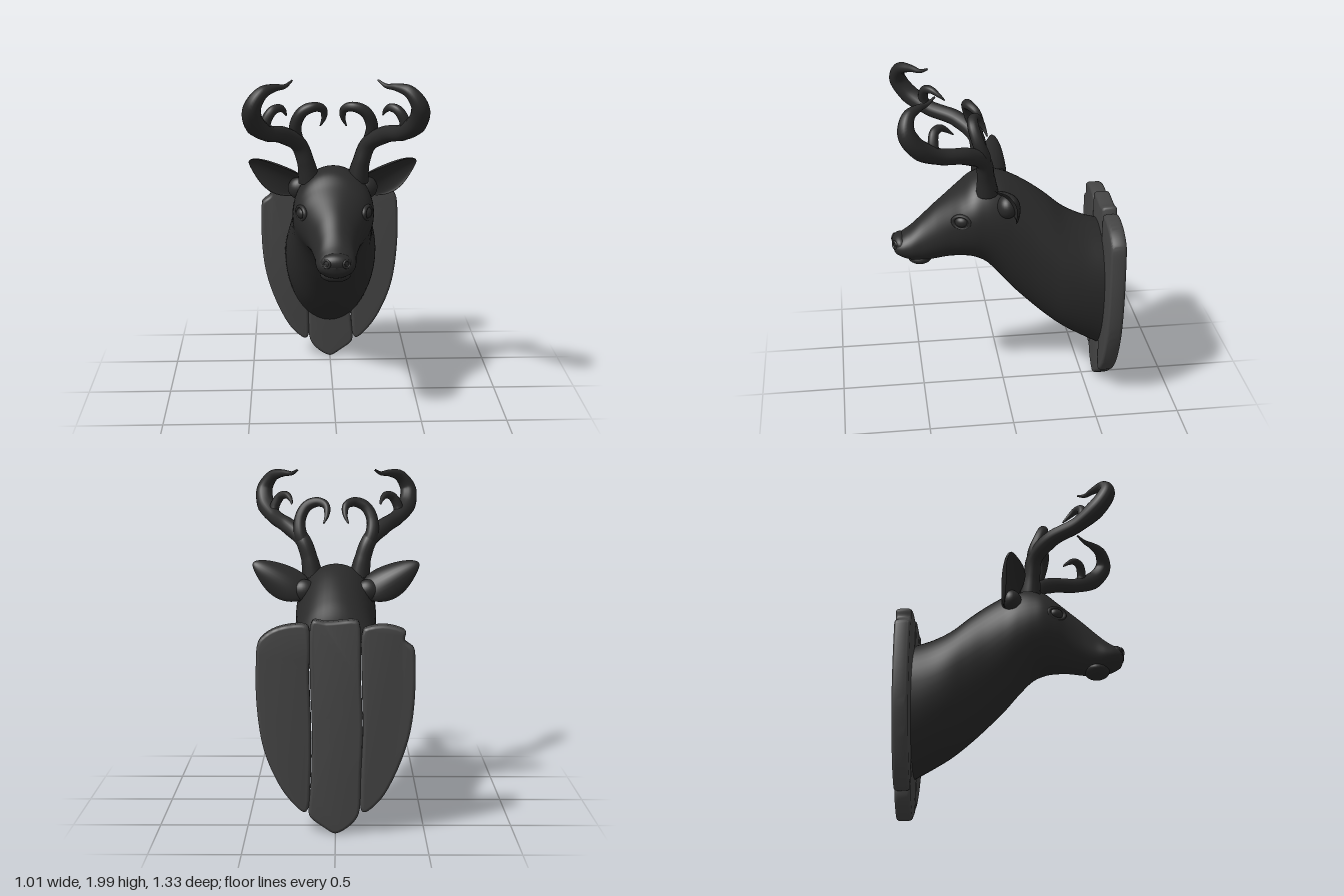
import * as THREE from 'three';
import { toCreasedNormals } from 'three/addons/utils/BufferGeometryUtils.js';

const V = (x, y, z) => new THREE.Vector3(x, y, z);
const hide = new THREE.MeshStandardMaterial({ color: 0x2a2a2a });
const wood = new THREE.MeshStandardMaterial({ color: 0x444444 });

function add(parent, name, geometry, material = hide) {
  const mesh = new THREE.Mesh(geometry, material);
  mesh.name = name;
  parent.add(mesh);
  return mesh;
}

// Ellipsoid placed at a point
function blob(parent, name, pos, radii) {
  const mesh = add(parent, name, new THREE.SphereGeometry(1, 28, 18));
  mesh.position.set(...pos);
  mesh.scale.set(...radii);
  return mesh;
}

// Loft along z; each section is [z, bottom, top, widest height, half width]
function loft(sections, rings, around) {
  const a = new THREE.CatmullRomCurve3(sections.map(s => V(s[0], s[1], s[2])));
  const b = new THREE.CatmullRomCurve3(sections.map(s => V(s[0], s[3], s[4])));
  const pos = [], idx = [];
  for (let i = 0; i <= rings; i++) {
    const p = a.getPoint(i / rings), q = b.getPoint(i / rings);
    for (let j = 0; j < around; j++) {
      const t = j / around * Math.PI * 2, s = Math.sin(t);
      pos.push(Math.cos(t) * q.z, q.y + s * (s > 0 ? p.z - q.y : q.y - p.y), p.x);
      if (i < rings) {
        const k = (j + 1) % around, m = i * around;
        idx.push(m + j, m + k, m + around + j, m + k, m + around + k, m + around + j);
      }
    }
  }
  const g = new THREE.BufferGeometry();
  g.setAttribute('position', new THREE.Float32BufferAttribute(pos, 3));
  g.setIndex(idx);
  g.computeVertexNormals();
  return g;
}

// Tube whose radius follows a list of values along its length
function taperedTube(points, radii, seg = 56, sides = 14) {
  const path = new THREE.CatmullRomCurve3(points.map(p => V(...p)));
  const g = new THREE.TubeGeometry(path, seg, 1, sides);
  const p = g.attributes.position, v = V(0, 0, 0);
  for (let i = 0; i <= seg; i++) {
    const c = path.getPointAt(i / seg), f = i / seg * (radii.length - 1);
    const k = Math.min(Math.floor(f), radii.length - 2);
    const r = THREE.MathUtils.lerp(radii[k], radii[k + 1], f - k);
    for (let j = 0; j <= sides; j++) {
      const n = i * (sides + 1) + j;
      v.fromBufferAttribute(p, n).sub(c).multiplyScalar(r).add(c);
      p.setXYZ(n, v.x, v.y, v.z);
    }
  }
  return g;
}

// Cupped leaf: x along the ear, y across it, z through it
function earGeometry() {
  const g = new THREE.SphereGeometry(1, 32, 24).rotateZ(-Math.PI / 2);
  const p = g.attributes.position;
  for (let i = 0; i < p.count; i++) {
    const x = p.getX(i), y = p.getY(i), z = p.getZ(i);
    const w = 0.108 * (1 - 0.28 * x - 0.12 * x * x);
    const hollow = z > 0 ? -0.4 : 1;
    p.setXYZ(i, x * 0.19, y * w, z * 0.045 * hollow + 0.035 * y * y * (1 - x * x));
  }
  g.computeVertexNormals();
  return g;
}

function board(outline) {
  const curve = new THREE.CatmullRomCurve3(outline.map(p => V(p[0], p[1], 0)), true);
  const shape = new THREE.Shape(curve.getPoints(90).slice(0, -1).map(p => new THREE.Vector2(p.x, p.y)));
  const g = new THREE.ExtrudeGeometry(shape, {
    depth: 0.05, bevelSize: 0.018, bevelOffset: -0.018, bevelThickness: 0.021, bevelSegments: 4,
  });
  return toCreasedNormals(g.translate(0, 0, -0.64), 0.7);
}

function makeSide() {
  const side = new THREE.Group();

  // Antler: main beam and two hooked tines
  const antler = new THREE.Group();
  antler.name = 'antler';
  side.add(antler);
  add(antler, 'antlerBeam', taperedTube([
    [0.14, 1.36, 0.11], [0.16, 1.47, 0.12], [0.2, 1.58, 0.14], [0.29, 1.655, 0.24], [0.38, 1.7, 0.4],
    [0.445, 1.78, 0.52], [0.45, 1.87, 0.575], [0.4, 1.945, 0.56], [0.33, 1.965, 0.5],
    [0.275, 1.965, 0.45], [0.235, 1.99, 0.405],
  ], [0.065, 0.05, 0.047, 0.05, 0.046, 0.046, 0.056, 0.052, 0.036, 0.018, 0.005], 90));
  add(antler, 'innerTine', taperedTube([
    [0.18, 1.53, 0.13], [0.215, 1.62, 0.14], [0.215, 1.71, 0.17], [0.175, 1.78, 0.19],
    [0.11, 1.805, 0.185], [0.06, 1.785, 0.15], [0.055, 1.73, 0.12], [0.075, 1.68, 0.1],
  ], [0.04, 0.042, 0.036, 0.034, 0.032, 0.026, 0.018, 0.004]));
  add(antler, 'outerTine', taperedTube([
    [0.39, 1.7, 0.42], [0.38, 1.77, 0.43], [0.345, 1.825, 0.42], [0.305, 1.835, 0.385],
    [0.28, 1.81, 0.345], [0.27, 1.78, 0.31],
  ], [0.034, 0.03, 0.028, 0.024, 0.015, 0.004], 40));

  // Ear, with its lower edge swept back
  const ear = add(side, 'ear', earGeometry());
  const along = V(0.31, 0.17, 0.01).normalize();
  const face = V(0, 0, 1).addScaledVector(V(-0.5, 0.85, 0), -0.6).cross(along).normalize();
  const across = face.y > 0 ? face : face.negate();
  const out = along.clone().cross(across);
  ear.quaternion.setFromRotationMatrix(new THREE.Matrix4().makeBasis(along, across, out));
  ear.position.set(0.325, 1.365, 0);
  blob(side, 'earRoot', [0.19, 1.29, 0], [0.075, 0.07, 0.06]);

  // Eye with a raised almond rim
  const eye = new THREE.Group();
  eye.name = 'eye';
  eye.position.set(0.183, 1.205, 0.262);
  eye.rotation.y = 1.15;
  side.add(eye);
  blob(eye, 'eyeball', [0, 0, 0], [0.043, 0.034, 0.032]);
  const lids = add(eye, 'eyelids', new THREE.TorusGeometry(0.045, 0.011, 10, 32));
  lids.scale.set(1.15, 0.85, 1.3);
  lids.position.z = 0.006;

  // Nostril rim
  const nostril = add(side, 'nostril', new THREE.TorusGeometry(0.02, 0.007, 8, 20));
  nostril.position.set(0.055, 1.015, 0.648);
  nostril.rotation.set(-0.1, 0.55, 0.5);
  return side;
}

export function createModel() {
  const model = new THREE.Group();
  model.name = 'mountedDeerHead';

  // Neck, skull and muzzle in one skin
  add(model, 'headAndNeck', loft([
    [-0.59, 0.25, 1.07, 0.73, 0.29],
    [-0.47, 0.32, 1.11, 0.76, 0.287],
    [-0.36, 0.39, 1.17, 0.82, 0.28],
    [-0.25, 0.48, 1.265, 0.9, 0.262],
    [-0.15, 0.575, 1.34, 0.98, 0.247],
    [-0.05, 0.68, 1.4, 1.06, 0.24],
    [0.04, 0.79, 1.435, 1.13, 0.24],
    [0.12, 0.875, 1.44, 1.16, 0.238],
    [0.19, 0.908, 1.415, 1.18, 0.23],
    [0.26, 0.915, 1.355, 1.175, 0.205],
    [0.33, 0.912, 1.3, 1.13, 0.168],
    [0.41, 0.9, 1.235, 1.06, 0.135],
    [0.49, 0.89, 1.16, 1.01, 0.117],
    [0.56, 0.905, 1.095, 0.99, 0.112],
    [0.61, 0.925, 1.06, 0.99, 0.1],
    [0.645, 0.95, 1.035, 0.99, 0.075],
    [0.66, 0.99, 1.002, 0.996, 0.004],
  ], 96, 48));
  blob(model, 'chin', [0, 0.912, 0.5], [0.088, 0.042, 0.075]);
  blob(model, 'nosePad', [0, 1.015, 0.613], [0.088, 0.05, 0.05]);

  // Antlers, ears, eyes and nostrils, mirrored
  const left = makeSide(), right = makeSide();
  left.name = 'leftSide';
  right.name = 'rightSide';
  right.scale.x = -1;
  model.add(left, right);

  // Backing plaque of three worn boards
  const plaque = new THREE.Group();
  plaque.name = 'plaque';
  model.add(plaque);
  add(plaque, 'middleBoard', board([
    [-0.13, 1.2], [-0.11, 1.215], [0.05, 1.205], [0.12, 1.215], [0.135, 1.19], [0.14, 0.9], [0.13, 0.6],
    [0.137, 0.3], [0.15, 0.13], [0.14, 0.1], [0.07, 0.045], [0.01, 0.008], [-0.02, 0.012], [-0.09, 0.06],
    [-0.13, 0.12], [-0.14, 0.3], [-0.15, 0.6], [-0.14, 0.9],
  ]), wood);
  add(plaque, 'rightBoard', board([
    [-0.15, 1.16], [-0.17, 1.175], [-0.27, 1.19], [-0.37, 1.165], [-0.385, 1.15], [-0.38, 1.105],
    [-0.43, 1.06], [-0.437, 1.02], [-0.435, 0.75], [-0.405, 0.55], [-0.33, 0.34], [-0.25, 0.2],
    [-0.165, 0.13], [-0.145, 0.14], [-0.14, 0.29], [-0.152, 0.6], [-0.145, 0.9],
  ]), wood);
  add(plaque, 'leftBoard', board([
    [0.145, 1.17], [0.165, 1.19], [0.25, 1.19], [0.34, 1.165], [0.4, 1.125], [0.425, 1.09], [0.437, 0.95],
    [0.435, 0.75], [0.405, 0.52], [0.35, 0.36], [0.27, 0.22], [0.175, 0.13], [0.155, 0.145], [0.14, 0.29],
    [0.135, 0.6], [0.145, 0.9],
  ]), wood);
  return model;
}
